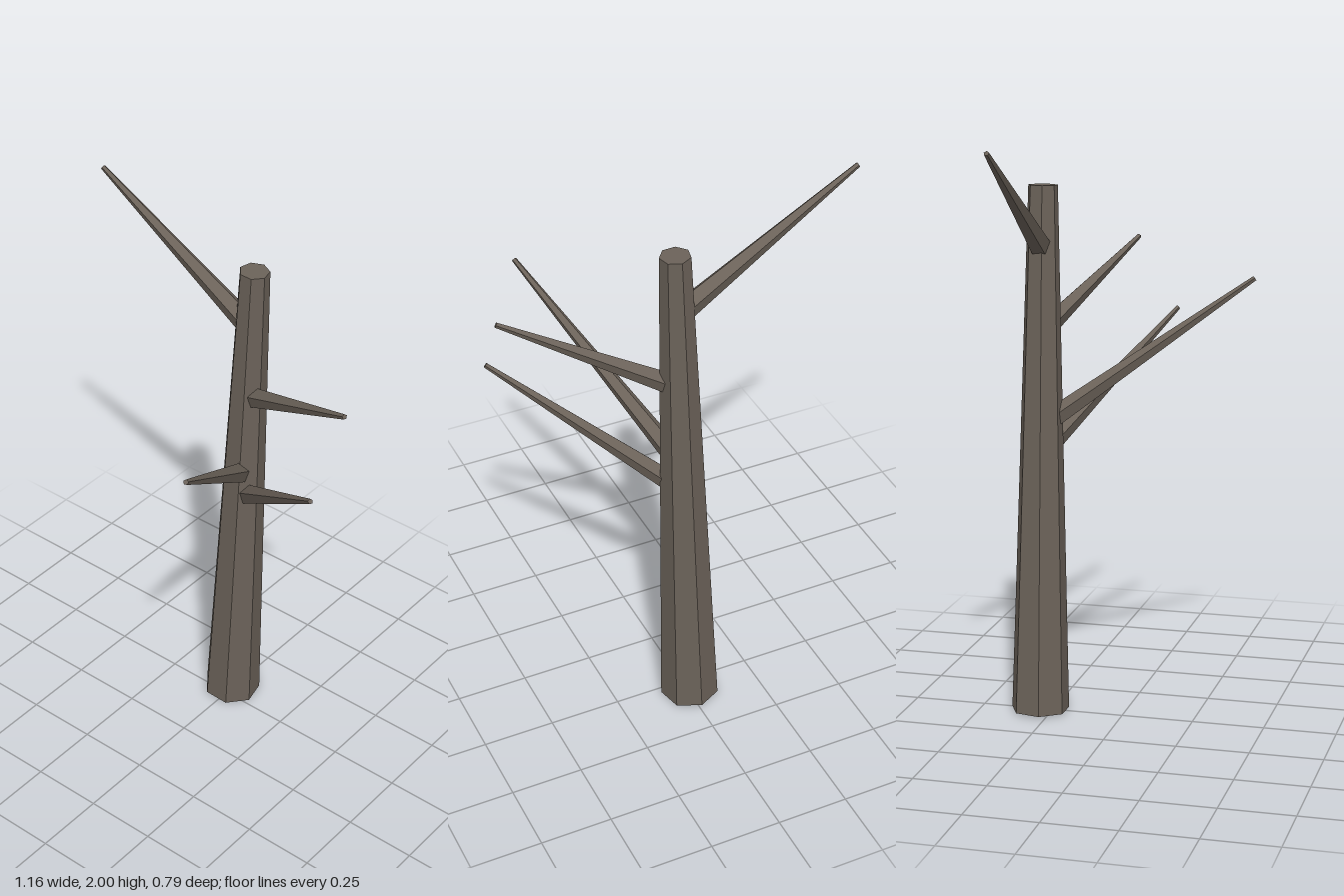
import * as THREE from 'three';

const bark = new THREE.MeshStandardMaterial({ color: 0x6b6259, flatShading: true });

// Tapered trunk, leaning slightly from its foot to its sawn top
const FOOT = new THREE.Vector3(-0.01, 0.005, -0.293);
const TOP = new THREE.Vector3(0.056, 1.83, -0.289);

function makeTrunk() {
  const axis = TOP.clone().sub(FOOT);
  const geometry = new THREE.CylinderGeometry(0.051, 0.102, axis.length(), 7, 1, false, Math.PI);
  const trunk = new THREE.Mesh(geometry, bark);
  trunk.name = 'trunk';
  trunk.position.copy(FOOT).lerp(TOP, 0.5);
  trunk.quaternion.setFromUnitVectors(new THREE.Vector3(0, 1, 0), axis.normalize());
  return trunk;
}

// Five-sided bare branch growing from the trunk's axis, one ridge facing up
function makeBranch(name, startY, tip, baseRadius) {
  const start = FOOT.clone().lerp(TOP, (startY - FOOT.y) / (TOP.y - FOOT.y));
  const end = new THREE.Vector3(...tip);
  const length = start.distanceTo(end);
  const geometry = new THREE.CylinderGeometry(0.009, baseRadius, length, 5, 1, false, Math.PI);
  geometry.translate(0, length / 2, 0).rotateX(Math.PI / 2);
  const branch = new THREE.Mesh(geometry, bark);
  branch.name = name;
  branch.position.copy(start);
  branch.lookAt(end);
  return branch;
}

export function createModel() {
  const tree = new THREE.Group();
  tree.name = 'bareTree';
  tree.add(
    makeTrunk(),
    makeBranch('upperRightBranch', 1.61, [-0.578, 1.99, -0.28], 0.04),
    makeBranch('upperLeftBranch', 1.335, [0.575, 1.6, -0.087], 0.038),
    makeBranch('frontBranch', 1.01, [0.325, 1.5, 0.385], 0.038),
    makeBranch('lowerLeftBranch', 0.915, [0.563, 1.35, 0.06], 0.038)
  );
  return tree;
}
